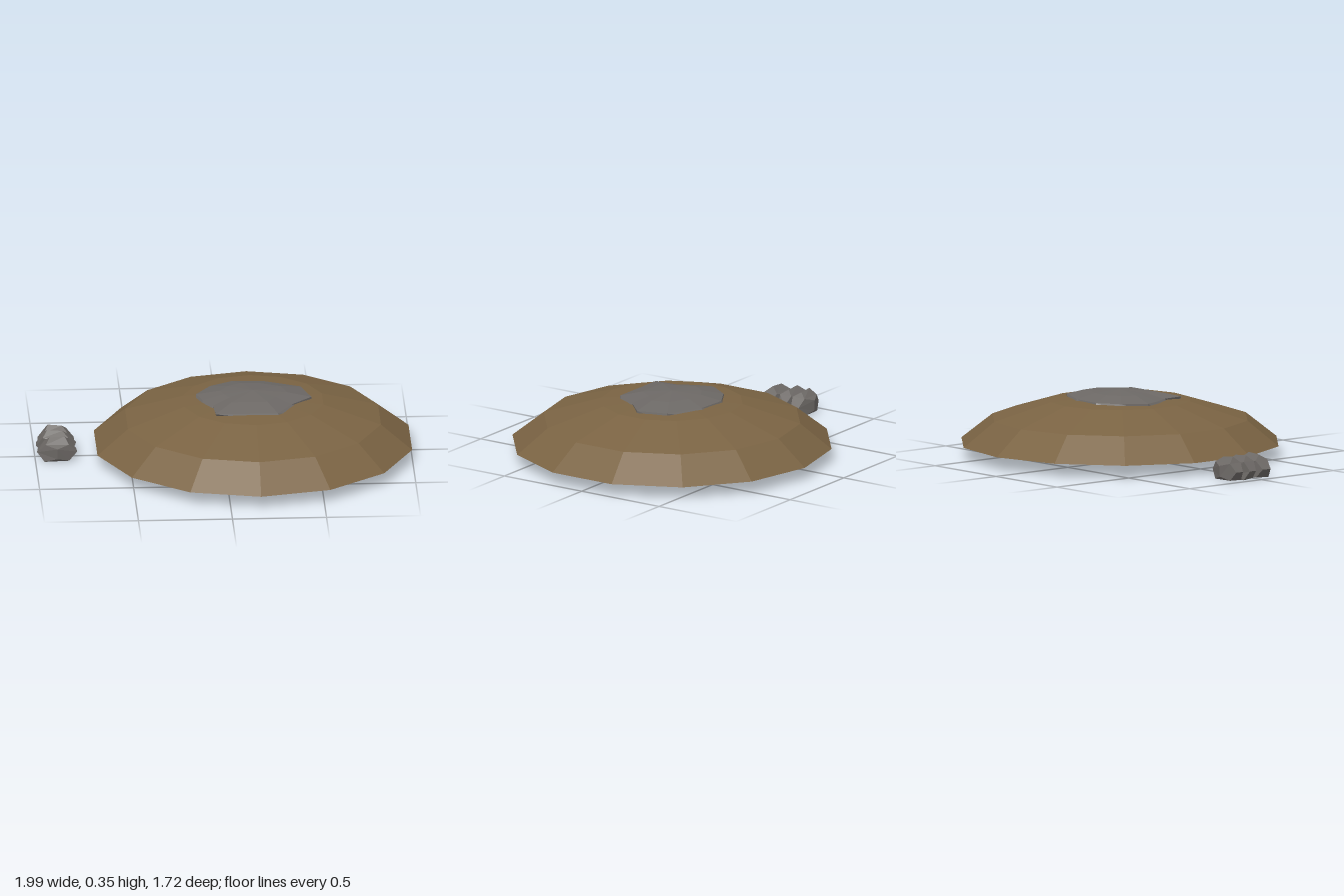
import * as THREE from 'three';

const CX = 0.16; // centre of the mound

// small seeded jitter that depends only on position, so shared corners stay joined
function jitter(x, y, z, seed) {
  const s = Math.sin(Math.round(x * 50) * 12.99 + Math.round(y * 50) * 78.23 + Math.round(z * 50) * 37.72 + seed) * 4375.85;
  return s - Math.floor(s) - 0.5;
}

// closed faceted body from stacked rings (top to bottom) with a pole at each end
function ringBody(top, rings, bottom) {
  const n = rings[0].length, pos = [...top], idx = [];
  rings.forEach(r => r.forEach(p => pos.push(...p)));
  pos.push(...bottom);
  const last = 1 + n * rings.length;
  for (let i = 0; i < n; i++) {
    const j = (i + 1) % n;
    idx.push(0, 1 + i, 1 + j);
    for (let r = 0; r < rings.length - 1; r++) {
      const a = 1 + r * n, b = a + n;
      idx.push(a + i, b + i, b + j, a + i, b + j, a + j);
    }
    const e = last - n;
    idx.push(e + i, last, e + j);
  }
  const g = new THREE.BufferGeometry();
  g.setAttribute('position', new THREE.Float32BufferAttribute(pos, 3));
  g.setIndex(idx);
  g.computeVertexNormals();
  return g;
}

export function createModel() {
  const model = new THREE.Group();
  const earth = new THREE.MeshStandardMaterial({ color: 0x7a6343, flatShading: true, side: THREE.DoubleSide });
  earth.name = 'earth brown';
  const stone = new THREE.MeshStandardMaterial({ color: 0x6c6865, flatShading: true });
  stone.name = 'stone grey';

  const add = (name, geometry, material) => {
    const m = new THREE.Mesh(geometry, material);
    m.name = name;
    model.add(m);
    return m;
  };

  // hollow earth mound: a flattened spherical cap, open underneath
  const profile = [[0.858, 0.07], [0.69, 0.203], [0.38, 0.297], [0, 0.328]]
    .map(p => new THREE.Vector2(...p));
  add('mound', new THREE.LatheGeometry(profile, 14), earth).position.x = CX;

  // flat boulder set through the top of the mound
  const outline = [[-0.14, -0.06], [-0.11, 0.03], [-0.06, 0.12], [-0.05, 0.25], [0.28, 0.25], [0.36, 0.12],
    [0.47, 0.01], [0.42, -0.15], [0.23, -0.24], [0.06, -0.25], [-0.06, -0.18]];
  const scaled = (k, y) => outline.map(([x, z]) => [CX + (x - CX) * k, y, z * k]);
  const oval = (rx, rz, y) => outline.map(([x, z]) => {
    const a = Math.atan2(z, x - CX);
    return [CX + rx * Math.cos(a), y, rz * Math.sin(a)];
  });
  const boulder = ringBody([CX, 0.355, 0],
    [scaled(0.58, 0.341), scaled(1, 0.314), oval(0.31, 0.29, 0.27), oval(0.23, 0.21, 0.205)],
    [CX, 0.195, 0]);
  add('boulder', boulder, stone);

  // row of three small stones with flat undersides
  const stones = [[-0.885, -0.135, 0.1, 0.062], [-0.89, -0.052, 0.11, 0.058], [-0.885, 0.045, 0.108, 0.07]];
  stones.forEach(([cx, cz, rx, rz], s) => {
    const g = new THREE.DodecahedronGeometry(1, 0);
    const p = g.attributes.position;
    for (let i = 0; i < p.count; i++) {
      const x = p.getX(i), y = p.getY(i), z = p.getZ(i);
      const k = 1.04 + 0.16 * jitter(x, y, z, s * 5);
      p.setXYZ(i,
        Math.max(-1, cx + x * k * rx),
        Math.max(0, 0.05 + y * k * 0.078),
        cz + z * k * rz);
    }
    g.computeVertexNormals();
    add('smallStone' + (s + 1), g, stone);
  });

  return model;
}
